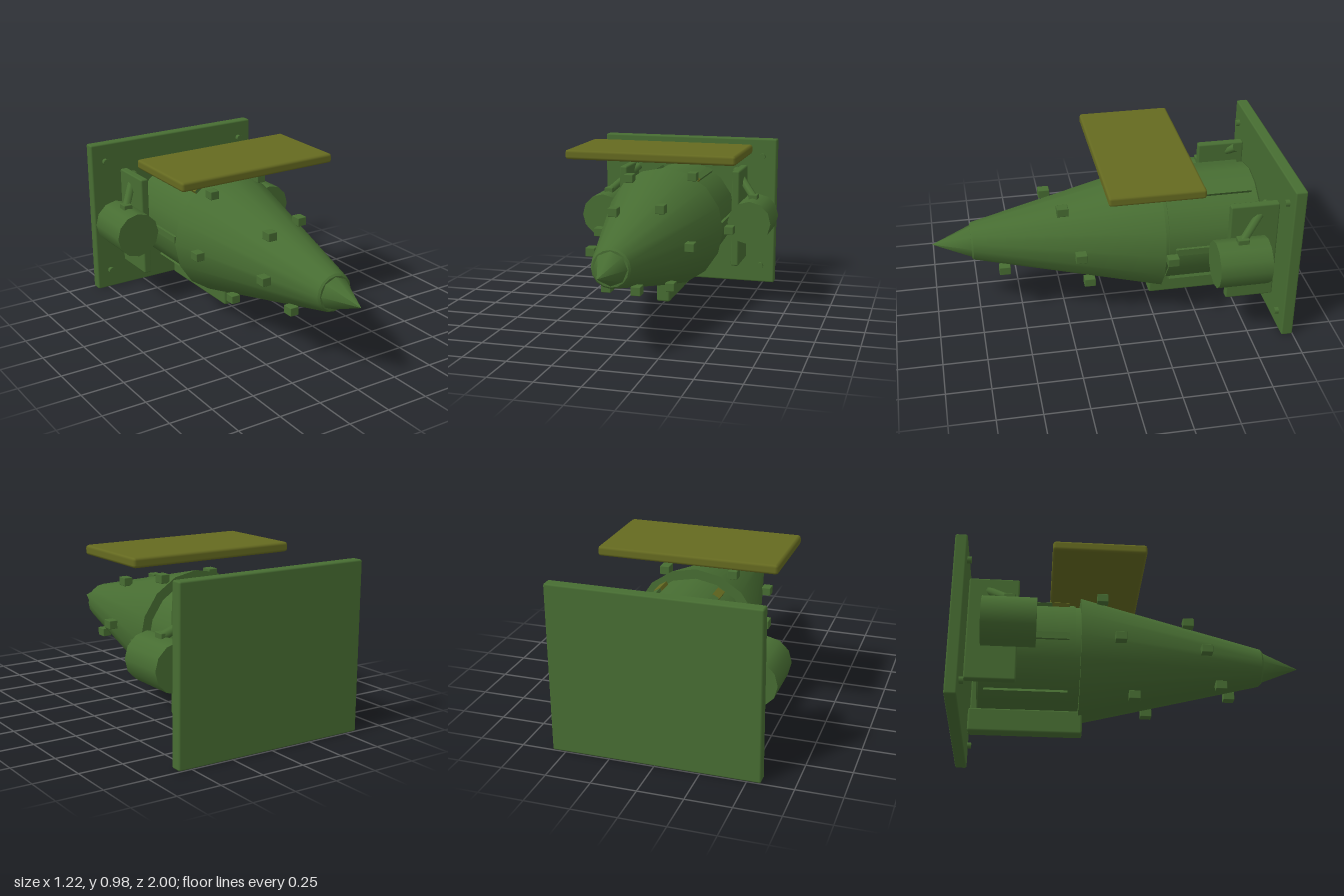
import * as THREE from 'three';
import { RoundedBoxGeometry } from 'three/addons/geometries/RoundedBoxGeometry.js';

export function createModel() {
  const model = new THREE.Group();
  const green = new THREE.MeshStandardMaterial({ color: 0x476d32 });
  green.name = 'hull green';
  const olive = new THREE.MeshStandardMaterial({ color: 0x656a20 });
  olive.name = 'panel olive';
  const axisY = 0.475;

  function add(name, geometry, material, x, y, z) {
    const mesh = new THREE.Mesh(geometry, material);
    mesh.name = name;
    mesh.position.set(x, y, z);
    model.add(mesh);
    return mesh;
  }
  // Bevelled box given by its limits on each axis
  function box(name, material, [x0, x1], [y0, y1], [z0, z1], bevel) {
    const g = new RoundedBoxGeometry(x1 - x0, y1 - y0, z1 - z0, 1, bevel);
    return add(name, g, material, (x0 + x1) / 2, (y0 + y1) / 2, (z0 + z1) / 2);
  }
  // Cylinder or cone along z, from back to front
  function drum(name, rBack, rFront, zBack, zFront, sides, x = 0, y = axisY) {
    const g = new THREE.CylinderGeometry(rFront, rBack, zFront - zBack, sides);
    g.rotateX(Math.PI / 2);
    return add(name, g, green, x, y, (zBack + zFront) / 2);
  }

  // Tapered hull, nose and rear body
  drum('hullCone', 0.365, 0.11, -0.29, 0.77, 16);
  drum('noseCollar', 0.11, 0.1, 0.77, 0.78, 16);
  drum('noseTip', 0.098, 0, 0.77, 1, 8);
  drum('neck', 0.31, 0.31, -0.33, -0.28, 16);
  drum('rearBody', 0.32, 0.32, -0.85, -0.32, 16);
  drum('rearBodyEdge', 0.31, 0.32, -0.86, -0.85, 16);
  drum('rearCoupling', 0.04, 0.04, -0.935, -0.85, 8);

  // Six ribs around the rear body, the upper two with olive fronts
  for (let i = 0; i < 6; i++) {
    const a = i * Math.PI / 3;
    const x = Math.cos(a) * 0.318, y = axisY + Math.sin(a) * 0.318;
    const rib = add('bodyRib', new THREE.BoxGeometry(0.03, 0.04, 0.465), green, x, y, -0.587);
    rib.rotation.z = a;
    if (i === 1 || i === 2) {
      const front = add('ribFront', new THREE.BoxGeometry(0.034, 0.044, 0.1), olive, x, y, -0.405);
      front.rotation.z = a;
    }
  }

  // Small blocks scattered over the cone, resting on its slope
  const studs = [
    [0.19, 0.805], [-0.18, 0.79], [-0.12, 0.685], [0.13, 0.70], [-0.34, 0.475], [0.4, 0.475],
    [-0.22, 0.475], [0.28, 0.475], [-0.1, 0.305], [0.09, 0.32], [-0.16, 0.2], [0.15, 0.22],
  ];
  for (const [x, y] of studs) {
    const z = -0.29 + (0.393 - Math.hypot(x, y - axisY)) / 0.2406;
    add('hullStud', new RoundedBoxGeometry(0.055, 0.05, 0.065, 1, 0.004), green, x, y, z);
  }

  // Top panel, rear plate and keel
  box('topPanel', olive, [-0.505, 0.505], [0.922, 0.978], [-0.465, 0.065], 0.016);
  box('rearPlate', green, [-0.575, 0.575], [0, 0.95], [-1, -0.932], 0.01);
  box('keel', green, [-0.042, 0.042], [0.01, 0.148], [-0.905, -0.265], 0.012);

  for (const s of [-1, 1]) {
    // Side plate and tank
    const side = box('sidePlate', green, [0.343, 0.392], [0.17, 0.78], [-0.92, -0.64], 0.01);
    side.position.x *= s;
    drum('sideTank', 0.135, 0.135, -0.837, -0.54, 12, s * 0.475);

    // Clamp and slanted brace above the tank
    add('tankClamp', new RoundedBoxGeometry(0.055, 0.045, 0.065, 1, 0.005), green, s * 0.475, 0.61, -0.69);
    const a = new THREE.Vector3(s * 0.475, 0.61, -0.69);
    const b = new THREE.Vector3(s * 0.325, 0.755, -0.865);
    const mid = a.clone().add(b).multiplyScalar(0.5);
    const brace = add('tankBrace', new THREE.CylinderGeometry(0.025, 0.025, a.distanceTo(b), 8), green, mid.x, mid.y, mid.z);
    brace.quaternion.setFromUnitVectors(new THREE.Vector3(0, 1, 0), b.clone().sub(a).normalize());

    // Bolts on the rear plate
    for (const y of [0.115, 0.838]) drum('plateBolt', 0.02, 0.02, -0.94, -0.908, 8, s * 0.485, y);
  }
  return model;
}
